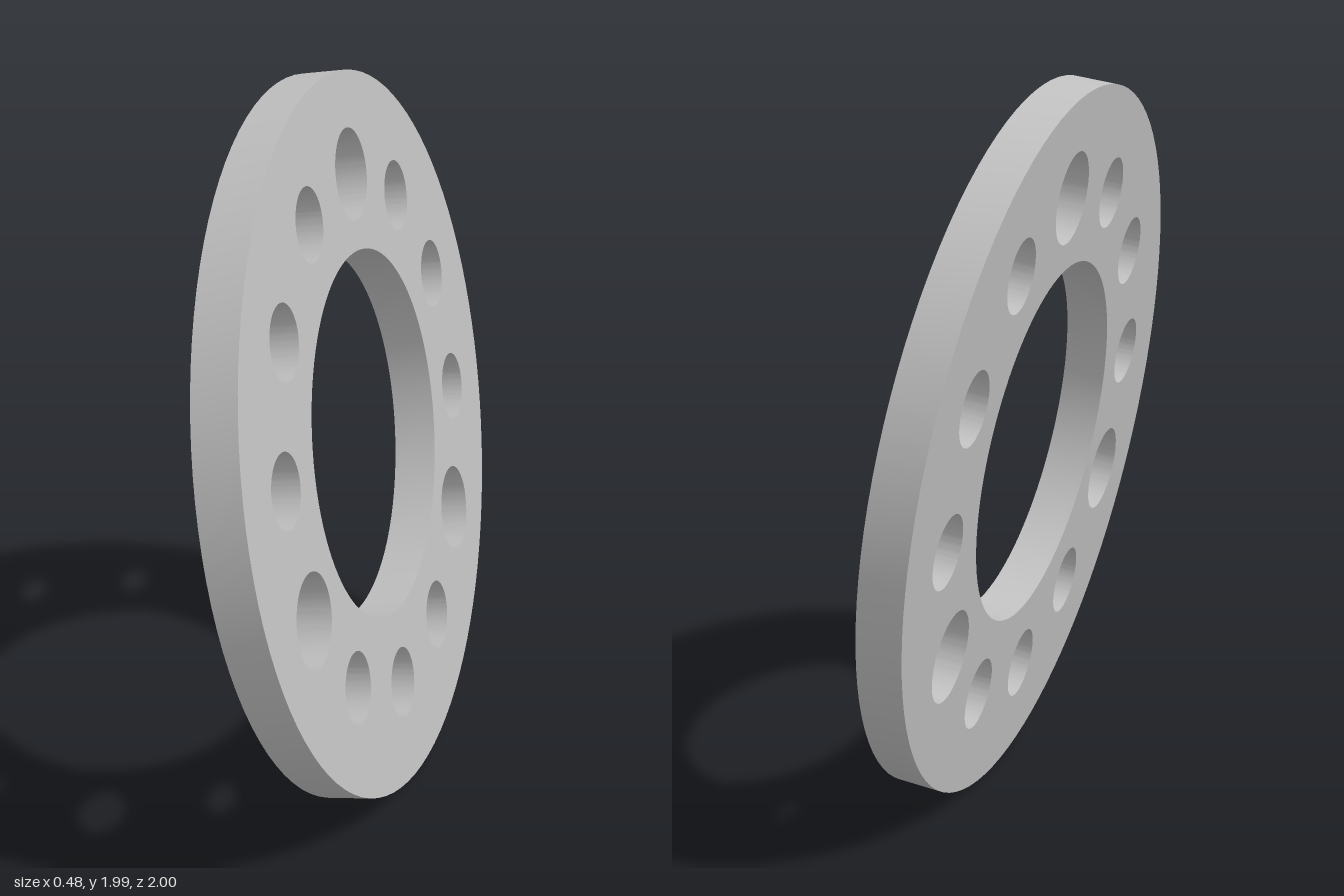
import * as THREE from 'three';
import { toCreasedNormals } from 'three/addons/utils/BufferGeometryUtils.js';

export function createModel() {
  const group = new THREE.Group();
  const grey = new THREE.MeshStandardMaterial({ color: 0xc0c0c0 });
  grey.name = 'light grey';

  const outerRadius = 0.998, boreRadius = 0.511, thickness = 0.123;
  const boltCircle = 0.718, holeCount = 12;

  const circle = (Type, x, y, r) => new Type().absarc(x, y, r, 0, Math.PI * 2, false);

  // Ring outline with its large centre bore
  const shape = circle(THREE.Shape, 0, 0, outerRadius);
  shape.holes.push(circle(THREE.Path, 0, 0, boreRadius));

  // Twelve evenly spaced holes, every fourth one larger
  for (let i = 0; i < holeCount; i++) {
    const a = THREE.MathUtils.degToRad(81 + i * 360 / holeCount);
    const r = i % 4 === 0 ? 0.126 : 0.1;
    shape.holes.push(circle(THREE.Path, boltCircle * Math.cos(a), boltCircle * Math.sin(a), r));
  }

  const geometry = new THREE.ExtrudeGeometry(shape, {
    depth: thickness, bevelEnabled: false, curveSegments: 48,
  });
  geometry.translate(0, 0, -thickness / 2);
  const ring = new THREE.Mesh(toCreasedNormals(geometry, 0.6), grey);
  ring.name = 'drilledRing';

  // Tilt the ring so its axis points mostly along +x
  const axis = new THREE.Vector3(0.983, 0.158, -0.089).normalize();
  const up = new THREE.Vector3(0, 1, 0).addScaledVector(axis, -axis.y).normalize();
  const side = new THREE.Vector3().crossVectors(up, axis);
  ring.quaternion.setFromRotationMatrix(new THREE.Matrix4().makeBasis(side, up, axis));
  ring.position.y = 0.995;

  group.add(ring);
  return group;
}
